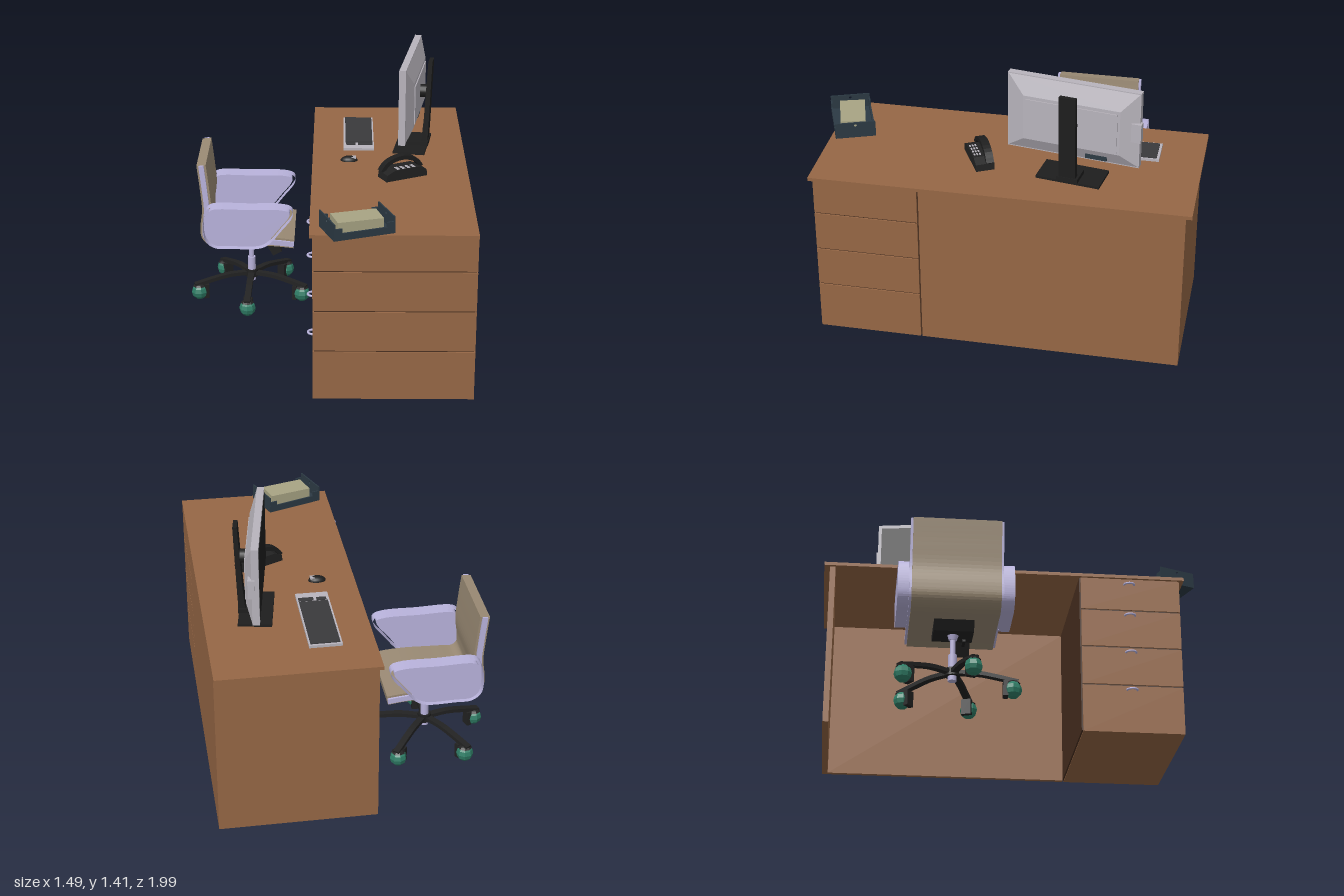
import * as THREE from 'three';

const mat = (color, flat = false) => new THREE.MeshStandardMaterial({ color, flatShading: flat, side: THREE.DoubleSide });
const wood = mat(0x966745), groove = mat(0x4a3020), lilac = mat(0xb9b3dc), beige = mat(0x9a8a74);
const black = mat(0x1e1e1e), blackFlat = mat(0x222222, true), teal = mat(0x2f7d66, true);
const slate = mat(0x2c3a44), paper = mat(0xa8a484), grey = mat(0xb8b4bc), keys = mat(0x3a3a3c);

function add(parent, name, geometry, material, x = 0, y = 0, z = 0) {
  const mesh = new THREE.Mesh(geometry, material);
  mesh.name = name;
  mesh.position.set(x, y, z);
  parent.add(mesh);
  return mesh;
}

// Box given by its lower and upper limits on each axis
function block(parent, name, material, x0, x1, y0, y1, z0, z1) {
  return add(parent, name, new THREE.BoxGeometry(x1 - x0, y1 - y0, z1 - z0), material,
    (x0 + x1) / 2, (y0 + y1) / 2, (z0 + z1) / 2);
}

function group(parent, name, x = 0, y = 0, z = 0, turn = 0) {
  const g = new THREE.Group();
  g.name = name;
  g.position.set(x, y, z);
  g.rotation.y = turn;
  parent.add(g);
  return g;
}

const vectors = (pts) => pts.map(([x, y]) => new THREE.Vector2(x, y));

// Outline in the xy plane, extruded evenly to both sides of z = 0
function slab(outline, depth, hole) {
  const shape = new THREE.Shape(outline);
  if (hole) shape.holes.push(new THREE.Path(hole));
  return new THREE.ExtrudeGeometry(shape, { depth, bevelEnabled: false }).translate(0, 0, -depth / 2);
}

// Bent strip of even thickness that follows a smooth path in the xy plane
function strip(pts, thickness, depth, closed = false, n = 48) {
  const curve = new THREE.CatmullRomCurve3(pts.map(([x, y]) => new THREE.Vector3(x, y, 0)), closed, 'centripetal');
  const a = [], b = [];
  for (let i = 0; i < (closed ? n : n + 1); i++) {
    const p = curve.getPoint(i / n), t = curve.getTangent(i / n);
    const ox = -t.y * thickness / 2, oy = t.x * thickness / 2;
    a.push(new THREE.Vector2(p.x + ox, p.y + oy));
    b.push(new THREE.Vector2(p.x - ox, p.y - oy));
  }
  return closed ? slab(b, depth, a) : slab([...a, ...b.reverse()], depth);
}

function makeDesk(root) {
  const desk = group(root, 'desk');
  block(desk, 'deskTop', wood, -0.07, 0.745, 0.872, 0.89, -1, 0.915);
  block(desk, 'endPanel', wood, -0.055, 0.745, 0, 0.872, -0.97, -0.94);
  block(desk, 'backPanel', wood, 0.72, 0.745, 0, 0.872, -0.94, 0.352);
  // Drawer stack: a dark core shows in the gaps
  block(desk, 'cabinetCore', groove, -0.048, 0.738, 0.005, 0.872, 0.352, 0.883);
  const levels = [0, 0.265, 0.48, 0.692, 0.872];
  for (let i = 0; i < 4; i++) {
    const top = levels[i + 1] - (i < 3 ? 0.008 : 0);
    block(desk, 'drawer', wood, -0.055, 0.745, levels[i], top, 0.36, 0.89);
    const handle = add(desk, 'drawerHandle', new THREE.TorusGeometry(0.027, 0.006, 8, 16, Math.PI), lilac,
      -0.055, [0.235, 0.447, 0.66, 0.84][i], 0.62);
    handle.rotation.set(Math.PI / 2, 0, Math.PI / 2);
  }
}

function makeMonitor(root) {
  const m = group(root, 'monitor', 0.455, 0, -0.375, -0.16);
  block(m, 'monitorFrame', grey, -0.02, 0.016, 1.0, 1.41, -0.34, 0.34);
  block(m, 'screen', black, -0.022, -0.018, 1.02, 1.39, -0.322, 0.322);
  // Sloped rear housing
  const rear = new THREE.BoxGeometry(0.034, 0.4, 0.67);
  const p = rear.attributes.position;
  for (let i = 0; i < p.count; i++) {
    if (p.getX(i) > 0) p.setXYZ(i, p.getX(i), p.getY(i) * 0.6 - 0.013, p.getZ(i) * 0.74);
  }
  rear.computeVertexNormals();
  add(m, 'rearHousing', rear, grey, 0.033, 1.205, 0);
  block(m, 'rearPlate', grey, 0.049, 0.055, 1.085, 1.295, -0.235, 0.235);
  block(m, 'connectorPanel', slate, 0.016, 0.034, 1.015, 1.07, -0.18, -0.07);
  block(m, 'sideConnector', grey, 0.0, 0.035, 1.15, 1.25, -0.35, -0.3);
  const mount = add(m, 'mount', new THREE.CylinderGeometry(0.035, 0.035, 0.055, 16), black, 0.08, 1.2, 0);
  mount.rotation.z = Math.PI / 2;
  add(m, 'standPost', slab(vectors([[0.055, 0.89], [0.1, 0.89], [0.106, 1.0], [0.12, 1.375], [0.098, 1.375],
    [0.08, 1.05], [0.07, 0.94]]), 0.085), black);
  block(m, 'standBase', black, -0.07, 0.1, 0.89, 0.903, -0.165, 0.165);
  block(m, 'standFoot', black, 0.0, 0.105, 0.9, 0.925, -0.055, 0.055);
}

function makeDeskItems(root) {
  const keyboard = group(root, 'keyboard');
  block(keyboard, 'keyboardBody', grey, 0.095, 0.26, 0.89, 0.904, -0.78, -0.265);
  block(keyboard, 'mainKeys', keys, 0.105, 0.252, 0.9, 0.909, -0.767, -0.358);
  block(keyboard, 'smallKeys', keys, 0.11, 0.16, 0.9, 0.908, -0.348, -0.32);
  block(keyboard, 'sideKeys', keys, 0.175, 0.252, 0.9, 0.907, -0.348, -0.315);

  // Mouse
  const mouse = group(root, 'mouse', 0.125, 0.89, -0.115);
  add(mouse, 'mouseBody', new THREE.SphereGeometry(1, 16, 6, 0, Math.PI * 2, 0, Math.PI / 2).scale(0.046, 0.025, 0.03), black);
  for (const s of [-1, 1]) block(mouse, 'mouseButton', grey, 0.012, 0.036, 0.012, 0.022, s * 0.009 - 0.006, s * 0.009 + 0.006);

  // Telephone: wedge body, keypad and arched handset
  const phone = group(root, 'telephone', 0.402, 0.89, 0.115, 0.47);
  add(phone, 'phoneBody', slab(vectors([[-0.12, 0], [0.12, 0], [0.115, 0.035], [0.07, 0.055], [-0.07, 0.055], [-0.115, 0.035]]), 0.095), blackFlat);
  add(phone, 'handset', strip([[-0.115, 0.035], [-0.08, 0.075], [0, 0.098], [0.08, 0.075], [0.115, 0.035]], 0.022, 0.04, false, 16),
    black, 0, 0, -0.025);
  for (let i = 0; i < 12; i++) {
    const x = -0.045 + (i % 4) * 0.03, z = 0.008 + Math.floor(i / 4) * 0.014;
    block(phone, 'phoneKey', grey, x - 0.008, x + 0.008, 0.053, 0.058, z - 0.004, z + 0.004);
  }

  // Paper tray: tall corners and ends, low long sides
  const tray = group(root, 'paperTray', 0.16, 0.89, 0.842, 0.36);
  block(tray, 'trayFloor', slate, -0.157, 0.157, 0, 0.01, -0.103, 0.103);
  const hole = new THREE.Path().absarc(0, 0.068, 0.008, 0, Math.PI * 2);
  for (const s of [-1, 1]) {
    block(tray, 'traySide', slate, -0.157, 0.157, 0, 0.036, s * 0.1 - 0.004, s * 0.1 + 0.004);
    const end = slab(vectors([[-0.103, 0], [0.103, 0], [0.103, 0.085], [-0.103, 0.085]]), 0.007, hole.getPoints(8));
    add(tray, 'trayEnd', end, slate, s * 0.153).rotation.y = Math.PI / 2;
    for (const t of [-1, 1]) {
      block(tray, 'trayCorner', slate, s * 0.135 - 0.021, s * 0.135 + 0.021, 0, 0.06, t * 0.1 - 0.004, t * 0.1 + 0.004);
    }
  }
  const stack = block(tray, 'paperStack', paper, -0.115, 0.115, 0.01, 0.072, -0.065, 0.065);
  stack.rotation.y = -0.07;
}

function makeChair(root) {
  const chair = group(root, 'chair', -0.415, 0, -0.34);
  // One bent cushion forms the back and the seat
  const path = [[-0.25, 0.855], [-0.235, 0.72], [-0.226, 0.6], [-0.237, 0.5], [-0.232, 0.445], [-0.195, 0.412],
    [-0.1, 0.412], [0.08, 0.416], [0.16, 0.412], [0.243, 0.402]];
  add(chair, 'cushion', strip(path, 0.05, 0.44), beige);
  for (const s of [-1, 1]) {
    add(chair, 'sideRail', strip(path, 0.028, 0.012), lilac, 0, 0, s * 0.226);
    // Looped flat armrest
    add(chair, 'armrest', strip([[-0.19, 0.636], [0, 0.636], [0.18, 0.634], [0.228, 0.618], [0.23, 0.59], [0.17, 0.51],
      [0.1, 0.43], [0.05, 0.41], [-0.1, 0.41], [-0.18, 0.413], [-0.222, 0.445], [-0.234, 0.5], [-0.228, 0.58],
      [-0.215, 0.62]], 0.017, 0.055, true, 80), lilac, 0, 0, s * 0.26);
  }

  // Tilt mechanism, lever and gas column
  add(chair, 'mechanism', slab(vectors([[-0.1, 0.385], [0.12, 0.385], [0.09, 0.345], [-0.07, 0.335]]), 0.2), blackFlat);
  block(chair, 'leverArm', black, 0.03, 0.14, 0.325, 0.337, 0.05, 0.065);
  const lever = block(chair, 'leverGrip', blackFlat, 0.1, 0.155, 0.285, 0.37, 0.02, 0.09);
  lever.rotation.z = 0.5;
  add(chair, 'columnCap', new THREE.CylinderGeometry(0.028, 0.02, 0.025, 16), lilac, 0, 0.327, 0);
  add(chair, 'columnRod', new THREE.CylinderGeometry(0.014, 0.014, 0.12, 16), lilac, 0, 0.27, 0);
  add(chair, 'columnSleeve', new THREE.CylinderGeometry(0.022, 0.022, 0.14, 16), lilac, 0, 0.165, 0);
  add(chair, 'hub', new THREE.CylinderGeometry(0.035, 0.038, 0.04, 16), black, 0, 0.14, 0);

  // Five arched legs with faceted casters
  for (let i = 0; i < 5; i++) {
    const leg = group(chair, 'baseLeg', 0, 0, 0, -(20 + i * 72) * Math.PI / 180);
    add(leg, 'legArm', strip([[0.02, 0.14], [0.13, 0.138], [0.22, 0.122], [0.325, 0.098]], 0.02, 0.034, false, 10), blackFlat);
    add(leg, 'casterWheel', new THREE.SphereGeometry(0.045, 8, 6), teal, 0.3, 0.057, 0);
    add(leg, 'casterHood', new THREE.SphereGeometry(0.049, 8, 3, 0, Math.PI * 2, 0, 0.85), blackFlat, 0.3, 0.058, 0);
    block(leg, 'casterFork', blackFlat, 0.25, 0.275, 0.02, 0.1, -0.025, 0.025);
  }
}

export function createModel() {
  const root = new THREE.Group();
  root.name = 'officeDeskSet';
  makeDesk(root);
  makeMonitor(root);
  makeDeskItems(root);
  makeChair(root);
  return root;
}
